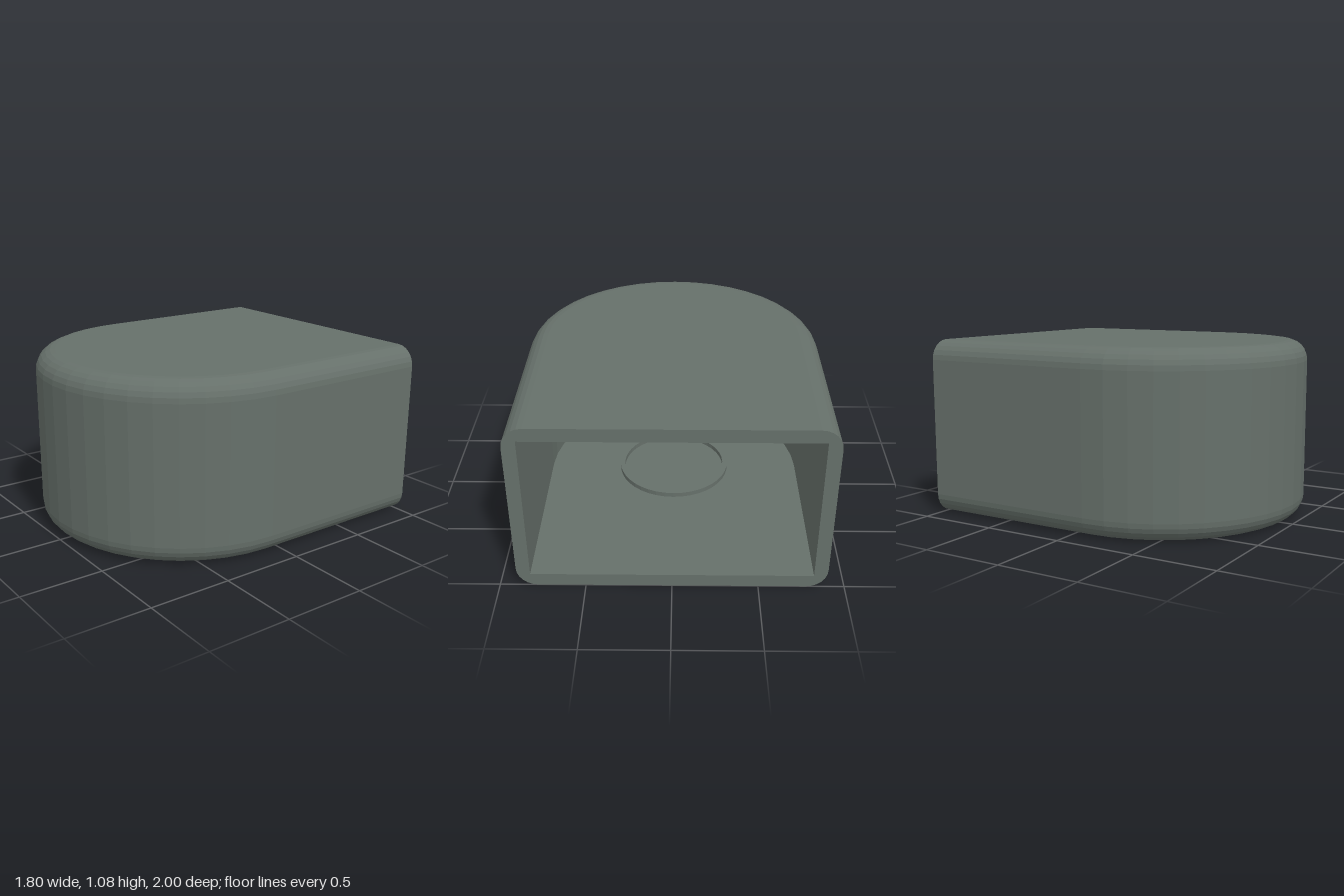
import * as THREE from 'three';

const HALF = 0.9, HEIGHT = 1.08, BACK = -1, ARC_Z = 0.1; // D-shaped plan
const FILLET = 0.12, WALL = 0.08, ARC_STEPS = 20, FILLET_STEPS = 6;

// Plan outline (x, z): straight side, half-round front, straight side
function outline(r) {
  const pts = [[r, BACK]];
  for (let i = 0; i <= ARC_STEPS; i++) {
    const t = (i / ARC_STEPS) * Math.PI;
    pts.push([r * Math.cos(t), ARC_Z + r * Math.sin(t)]);
  }
  pts.push([-r, BACK]);
  return pts;
}

// Strip through stacked outlines [radius, y]; rising levels face outward, falling ones inward
function loft(levels) {
  const pos = [], index = [], n = ARC_STEPS + 3;
  for (const [r, y] of levels) for (const [x, z] of outline(r)) pos.push(x, y, z);
  for (let j = 0; j < levels.length - 1; j++) {
    for (let i = 0; i < n - 1; i++) {
      const a = j * n + i, b = a + 1, c = a + n, d = c + 1;
      index.push(a, c, b, b, c, d);
    }
  }
  const geo = new THREE.BufferGeometry();
  geo.setAttribute('position', new THREE.Float32BufferAttribute(pos, 3));
  geo.setIndex(index);
  geo.computeVertexNormals();
  return geo;
}

// Flat D-shaped plate at height y, facing up (1) or down (-1)
function plate(r, y, dir) {
  const shape = new THREE.Shape(outline(r).map(([x, z]) => new THREE.Vector2(x, -dir * z)));
  return new THREE.ShapeGeometry(shape).rotateX(-dir * Math.PI / 2).translate(0, y, 0);
}

export function createModel() {
  const group = new THREE.Group();
  const material = new THREE.MeshStandardMaterial({ color: 0x66706a, flatShading: true });
  const add = (name, geo) => {
    const mesh = new THREE.Mesh(geo, material);
    mesh.name = name;
    group.add(mesh);
    return mesh;
  };

  // Rounded edge profile, bottom to top
  const lower = [], upper = [];
  for (let i = 0; i <= FILLET_STEPS; i++) {
    const t = (i / FILLET_STEPS) * Math.PI / 2;
    const r = HALF - FILLET + FILLET * Math.sin(t), y = FILLET * (1 - Math.cos(t));
    lower.push([r, y]);
    upper.unshift([r, HEIGHT - y]);
  }
  const profile = [...lower, ...upper];

  // Outer shell
  add('outerWall', loft(profile));
  add('topPlate', plate(HALF - FILLET, HEIGHT, 1));
  add('bottomPlate', plate(HALF - FILLET, 0, -1));

  // Hollow interior
  const inner = HALF - WALL, floorY = WALL, ceilingY = HEIGHT - WALL;
  add('innerWall', loft([[inner, ceilingY], [inner, floorY]]));
  add('innerFloor', plate(inner, floorY, 1));
  add('innerCeiling', plate(inner, ceilingY, -1));

  // Rim around the open back
  const rim = new THREE.Shape([
    ...profile.map(([r, y]) => new THREE.Vector2(r, y)),
    ...profile.slice().reverse().map(([r, y]) => new THREE.Vector2(-r, y)),
  ]);
  rim.holes.push(new THREE.Path([[-inner, floorY], [-inner, ceilingY], [inner, ceilingY], [inner, floorY]]
    .map(([x, y]) => new THREE.Vector2(x, y))));
  add('backRim', new THREE.ShapeGeometry(rim).rotateY(Math.PI).translate(0, 0, BACK));

  // Raised locating rings on floor and ceiling
  const ringProfile = [[0.36, 0], [0.36, 0.03], [0.33, 0.03], [0.33, 0]]
    .map(([x, y]) => new THREE.Vector2(x, y));
  const ring = new THREE.LatheGeometry(ringProfile, 40);
  add('floorRing', ring).position.set(0, floorY, ARC_Z);
  const ceilingRing = add('ceilingRing', ring);
  ceilingRing.position.set(0, ceilingY, ARC_Z);
  ceilingRing.rotation.x = Math.PI;

  return group;
}
